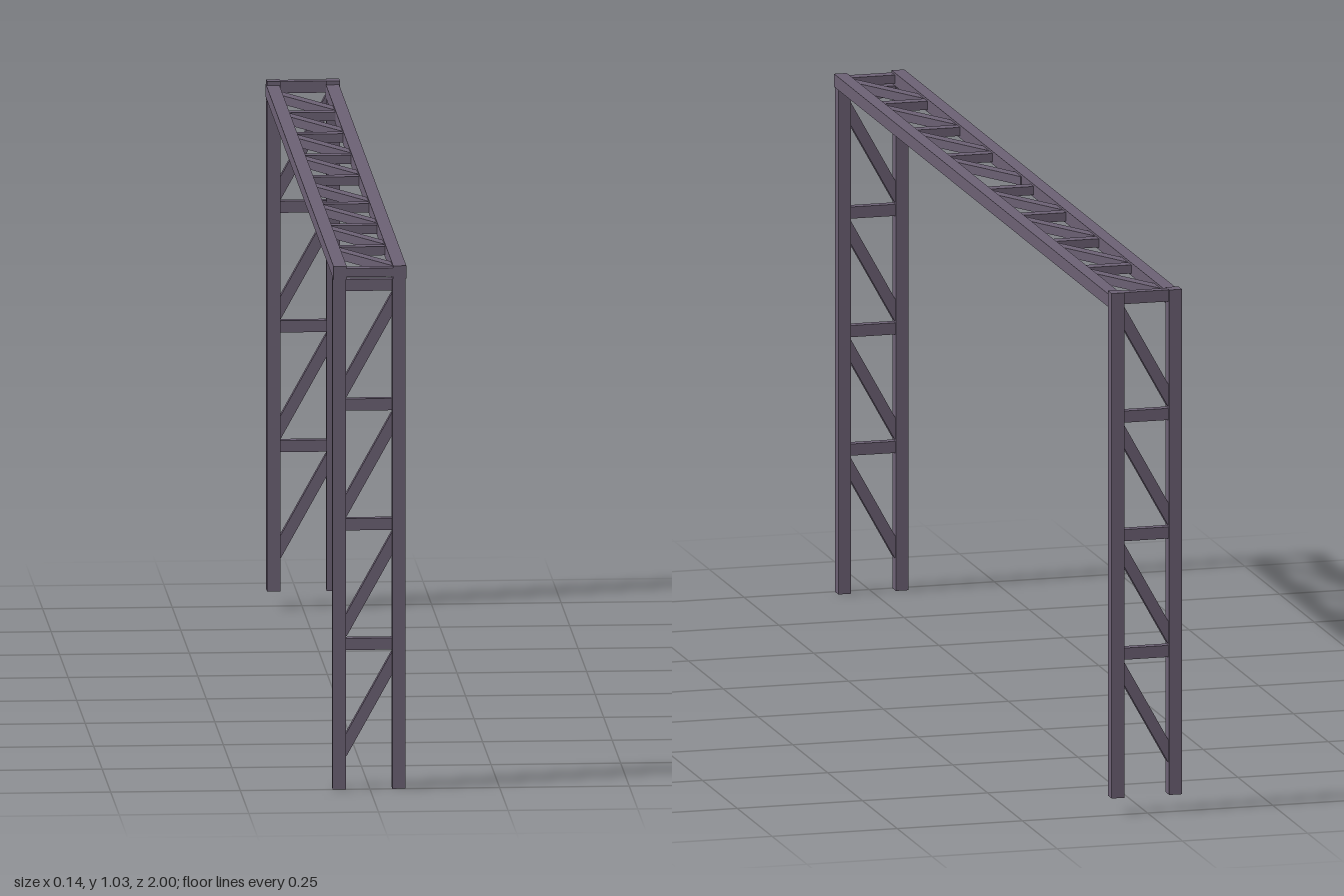
import * as THREE from 'three';

const LENGTH = 0.997;   // length of one truss section
const POST = 0.0255;    // square chord thickness
const HALF = 0.0575;    // chord centre offset
const BRACE = 0.017;    // depth of rungs and diagonals
const BAY = 0.234;      // rung spacing
const material = new THREE.MeshStandardMaterial({ color: 0x6b6073 });

function bar(name, w, h, d, x, y, angle = 0) {
  const mesh = new THREE.Mesh(new THREE.BoxGeometry(w, h, d), material);
  mesh.name = name;
  mesh.position.set(x, y, 0);
  mesh.rotation.z = angle;
  return mesh;
}

// One ladder truss standing on its lower end, centred on x and z
function truss(name) {
  const group = new THREE.Group();
  group.name = name;
  for (const side of [-1, 1])
    group.add(bar(side < 0 ? 'rightChord' : 'leftChord', POST, LENGTH, POST, side * HALF, LENGTH / 2));

  // Four bays, each a diagonal rising to +x and a rung above it
  const slope = Math.atan2(1.8, 1);
  const diagonal = 2 * 0.053 / Math.cos(slope);
  for (let i = 0; i < 4; i++) {
    group.add(bar('diagonal', diagonal, 0.022, BRACE, 0, 0.165 + i * BAY, slope));
    group.add(bar('rung', 2 * HALF, 0.023, BRACE, 0, 0.283 + i * BAY));
  }
  return group;
}

export function createModel() {
  const model = new THREE.Group();
  model.name = 'trussGantry';

  // Upright legs; the rear one sits a little higher
  const frontLeg = truss('frontLeg');
  frontLeg.position.set(-0.0015, 0, 1 - POST / 2);
  const backLeg = truss('backLeg');
  backLeg.position.set(0.0015, 0.033, -1 + POST / 2);
  model.add(frontLeg, backLeg);

  // Two sections laid end to end along z form the top beam
  for (const [name, z] of [['frontBeam', 0.003], ['backBeam', -0.994]]) {
    const beam = truss(name);
    beam.rotation.x = Math.PI / 2;
    beam.position.set(0, LENGTH + POST / 2, z);
    model.add(beam);
  }
  return model;
}
